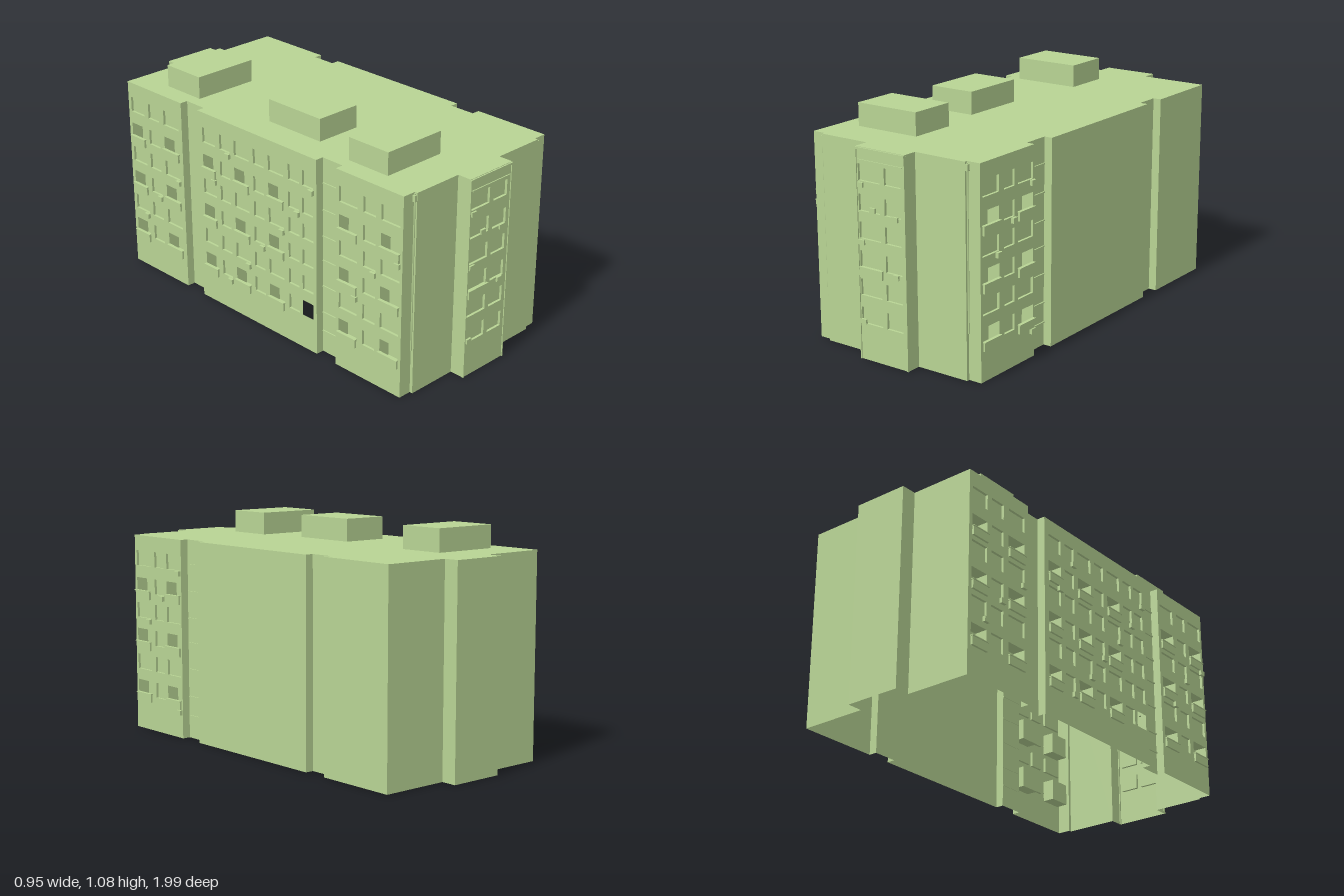
import * as THREE from 'three';

const HEIGHT = 0.965;
const FLOORS = [0.17, 0.30, 0.43, 0.56, 0.685, 0.82];
const WIN_H = 0.075;

const mat = new THREE.MeshStandardMaterial({ color: 0xb8d494, side: THREE.DoubleSide });

// Footprint corners [x, z], running round the block with the outside on the right
const OUTLINE = [
  [-0.46, 0.905], [-0.395, 0.905], [-0.395, 0.92], [-0.14, 0.92], [-0.14, 0.99],
  [0.13, 0.99], [0.13, 0.92], [0.395, 0.92], [0.395, 0.905], [0.46, 0.905],
  [0.46, 0.52], [0.42, 0.52], [0.42, 0.39], [0.46, 0.39], [0.46, -0.40],
  [0.42, -0.40], [0.42, -0.52], [0.46, -0.52], [0.46, -0.92],
  [0.13, -0.92], [0.13, -0.995], [-0.14, -0.995], [-0.14, -0.92], [-0.46, -0.92],
  [-0.46, -0.52], [-0.42, -0.52], [-0.42, -0.40], [-0.46, -0.40],
  [-0.46, 0.39], [-0.42, 0.39], [-0.42, 0.51], [-0.46, 0.51],
];

// Window columns [start, width] measured along the wall that starts at each outline corner
const COLUMNS = {
  4: [[0.01, 0.12], [0.155, 0.09]],
  9: [[0.015, 0.115], [0.165, 0.075], [0.265, 0.11]],
  23: [[0.02, 0.10], [0.15, 0.08], [0.265, 0.11]],
  27: [[0.03, 0.09], [0.15, 0.07], [0.25, 0.10], [0.38, 0.07], [0.48, 0.10], [0.61, 0.07], [0.70, 0.07]],
  31: [[0.02, 0.11], [0.165, 0.075], [0.27, 0.11]],
};

function box(parent, name, w, h, d, x, y, z) {
  const m = new THREE.Mesh(new THREE.BoxGeometry(w, h, d), mat);
  m.name = name;
  m.position.set(x, y, z);
  parent.add(m);
  return m;
}

// Open-fronted box sunk into the wall
function recess(parent, name, u, v, w, h, depth) {
  const m = box(parent, name, w, h, depth, u + w / 2, v + h / 2, -depth / 2);
  const idx = Array.from(m.geometry.index.array);
  idx.splice(24, 6);
  m.geometry.setIndex(idx);
}

function airConditioner(parent, u, v) {
  box(parent, 'airConditioner', 0.03, 0.024, 0.014, u, v, 0.007);
}

// One wall panel between two corners; local x runs along it and local z points outward
function wall(index) {
  const [ax, az] = OUTLINE[index];
  const [bx, bz] = OUTLINE[(index + 1) % OUTLINE.length];
  const len = Math.hypot(bx - ax, bz - az);
  const group = new THREE.Group();
  group.name = 'wall' + index;
  group.position.set(ax, 0, az);
  group.rotation.y = Math.atan2(az - bz, bx - ax);

  const shape = new THREE.Shape([
    new THREE.Vector2(0, 0), new THREE.Vector2(len, 0),
    new THREE.Vector2(len, HEIGHT), new THREE.Vector2(0, HEIGHT)]);

  (COLUMNS[index] || []).forEach(([u, w], c) => FLOORS.forEach((y, f) => {
    const side = index !== 4;
    const balcony = side && w >= 0.09 && (f + c) % 2 === 0;
    const v = balcony ? y - 0.03 : y;
    const h = balcony ? WIN_H + 0.03 : WIN_H;
    shape.holes.push(new THREE.Path([
      new THREE.Vector2(u, v), new THREE.Vector2(u, v + h),
      new THREE.Vector2(u + w, v + h), new THREE.Vector2(u + w, v)]));

    // One opening goes right through the wall
    if (index === 27 && c === 6 && f === 0) return;

    recess(group, balcony ? 'balconyRecess' : 'window', u, v, w, h, balcony ? 0.06 : 0.012);
    if (balcony) {
      box(group, 'balconyParapet', w, 0.04, 0.012, u + w / 2, v + 0.02, 0.004);
      box(group, 'balconyRail', w + 0.006, 0.004, 0.016, u + w / 2, v + 0.042, 0.006);
    }
    // Scattered cooling units under the windows
    if (side && (f * 2 + c * 3 + index) % 5 === 0) airConditioner(group, u + w - 0.01, v - 0.014);
  }));

  const panel = new THREE.Mesh(new THREE.ShapeGeometry(shape), mat);
  panel.name = 'wallPanel';
  group.add(panel);
  return group;
}

export function createModel() {
  const model = new THREE.Group();
  model.name = 'apartmentBlock';

  // Walls, open underneath
  const walls = new THREE.Group();
  walls.name = 'walls';
  OUTLINE.forEach((_, i) => walls.add(wall(i)));
  model.add(walls);

  // Flat roof with the same footprint
  const roofShape = new THREE.Shape(OUTLINE.map(([x, z]) => new THREE.Vector2(x, -z)));
  const roofGeo = new THREE.ExtrudeGeometry(roofShape, { depth: 0.006, bevelEnabled: false });
  roofGeo.rotateX(-Math.PI / 2);
  const roof = new THREE.Mesh(roofGeo, mat);
  roof.name = 'roof';
  roof.position.y = HEIGHT - 0.001;
  model.add(roof);

  // Stair and lift housings on the roof
  for (const [x0, x1, z0, z1] of [
    [-0.36, -0.03, -0.73, -0.50], [-0.31, -0.08, -0.07, 0.26], [-0.36, -0.03, 0.49, 0.72]]) {
    box(model, 'roofHousing', x1 - x0, 0.11, z1 - z0, (x0 + x1) / 2, 1.023, (z0 + z1) / 2);
  }

  // Front bay trim
  const bay = new THREE.Group();
  bay.name = 'frontBay';
  for (const x of [-0.138, 0.128]) box(bay, 'bayEdge', 0.006, HEIGHT, 0.012, x, HEIGHT / 2, 0.989);
  box(bay, 'bayCornice', 0.27, 0.01, 0.014, -0.005, 0.963, 0.99);
  box(bay, 'bayLedge', 0.245, 0.006, 0.006, -0.005, 0.912, 0.992);
  box(bay, 'bayBalcony', 0.13, 0.04, 0.01, -0.066, 0.412, 0.994);
  for (const [x, y] of [[-0.115, 0.803], [-0.05, 0.698], [0.075, 0.68], [-0.115, 0.545],
    [0.075, 0.42], [-0.115, 0.18]]) box(bay, 'airConditioner', 0.03, 0.022, 0.01, x, y, 0.994);
  model.add(bay);

  // Drainpipes beside the front corner strips
  for (const s of [-1, 1]) {
    const pipe = new THREE.Mesh(new THREE.CylinderGeometry(0.004, 0.004, 0.75, 6), mat);
    pipe.name = 'drainpipe';
    pipe.position.set(s * 0.4, 0.59, 0.911);
    model.add(pipe);
    box(model, 'pipeHead', 0.016, 0.03, 0.014, s * 0.4, 0.945, 0.912);
  }

  // Floor ledges in the front side notches
  for (const s of [-1, 1]) {
    for (const y of [0.11, 0.205, 0.34, 0.47, 0.59, 0.72, 0.85]) {
      box(model, 'notchLedge', 0.008, 0.006, 0.12, s * 0.422, y, 0.453);
    }
  }
  return model;
}
